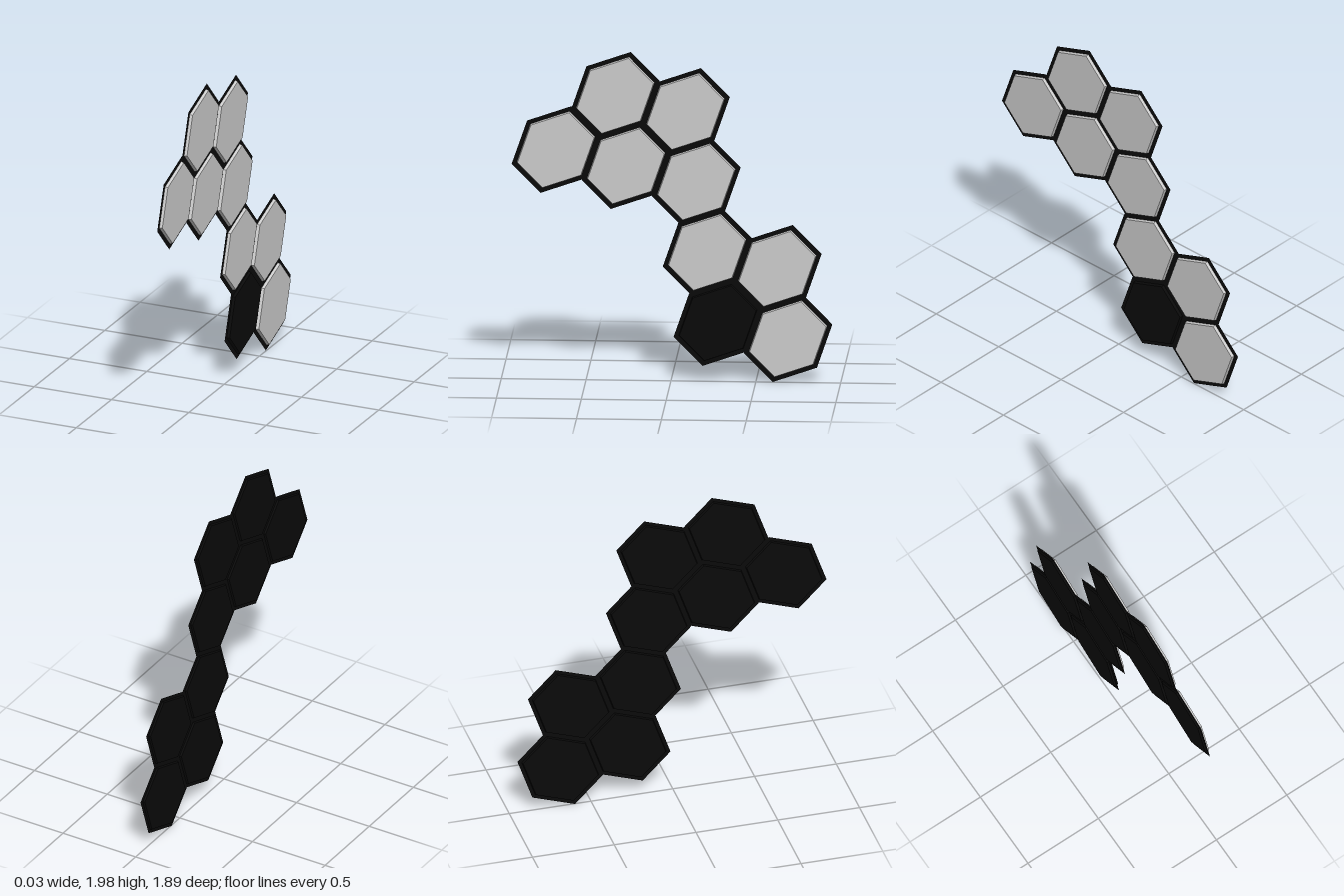
import * as THREE from 'three';

// Lattice steps between neighbouring tiles, as [y, z]
const STEP_P = [-0.092, -0.4135];
const STEP_Q = [-0.4245, -0.0636];
const ORIGIN = [1.731, 0.328];

// Tile positions in lattice steps from the top tile
const CELLS = [[0, 0], [1, 0], [-1, 1], [0, 1], [1, 1], [1, 2], [2, 2], [1, 3], [2, 3]];
const DARK_CELL = 7;

// Two neighbouring corners of the slightly stretched hexagon
const CORNER_A = new THREE.Vector3(0, 0.263, -0.091);
const CORNER_B = new THREE.Vector3(0, 0.173, 0.17);

// Maps a unit hexagon lying in the xz plane to the stretched, upright one
const side = CORNER_B.clone().addScaledVector(CORNER_A, -0.5).divideScalar(Math.sin(Math.PI / 3));
const HEX = new THREE.Matrix4().makeBasis(side, new THREE.Vector3(1, 0, 0), CORNER_A);

// Hexagonal slab from x0 to x1 with its own size at each face
function slab(x0, size0, x1, size1) {
  return new THREE.CylinderGeometry(size1, size0, x1 - x0, 6)
    .translate(0, (x0 + x1) / 2, 0)
    .applyMatrix4(HEX);
}

export function createModel() {
  const grey = new THREE.MeshStandardMaterial({ color: 0xcccccc, flatShading: true });
  const black = new THREE.MeshStandardMaterial({ color: 0x0a0a0a, flatShading: true });
  const thinBlack = new THREE.MeshStandardMaterial({ color: 0x0a0a0a, side: THREE.DoubleSide });

  const panelGeometry = slab(-0.004, 0.885, 0.013, 0.865);
  const backGeometry = slab(-0.015, 0.88, -0.004, 0.9);
  // Paper-thin rim around each tile
  const rimGeometry = new THREE.CircleGeometry(1, 6, Math.PI / 2)
    .rotateX(-Math.PI / 2)
    .rotateY(Math.PI)
    .translate(0, -0.004, 0)
    .applyMatrix4(HEX);

  const model = new THREE.Group();
  model.name = 'hexagonPanelWall';
  CELLS.forEach(([p, q], i) => {
    const tile = new THREE.Group();
    tile.name = `tile${i + 1}`;
    const add = (name, geometry, material) => {
      const mesh = new THREE.Mesh(geometry, material);
      mesh.name = name;
      tile.add(mesh);
    };
    add('frontPanel', panelGeometry, i === DARK_CELL ? black : grey);
    add('backPlate', backGeometry, black);
    add('rim', rimGeometry, thinBlack);
    tile.position.set(
      0,
      ORIGIN[0] + p * STEP_P[0] + q * STEP_Q[0],
      ORIGIN[1] + p * STEP_P[1] + q * STEP_Q[1]
    );
    model.add(tile);
  });
  return model;
}
